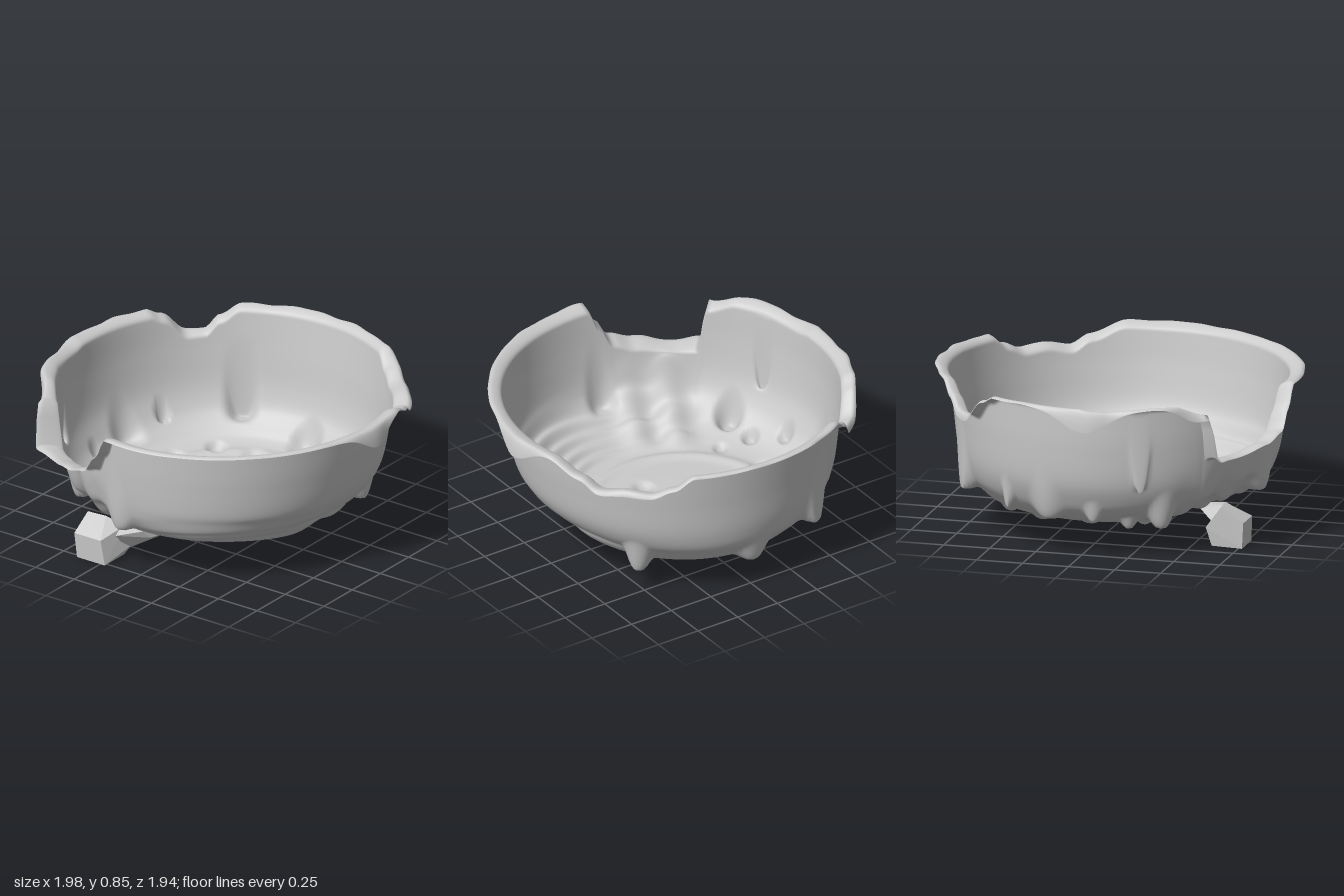
import * as THREE from 'three';
import { ConvexGeometry } from 'three/addons/geometries/ConvexGeometry.js';

const { smoothstep, lerp } = THREE.MathUtils;
const COLS = 280, ROWS = 110, LIP_ROWS = 14;

// Wall radius at each height, for the four sides of the basin
const LEVELS = [0.145, 0.145, 0.142, 0.148, 0.175, 0.21, 0.25, 0.30, 0.40, 0.60, 0.80];
const SIDES = {
  right: [0, 0.22, 0.42, 0.56, 0.61, 0.64, 0.66, 0.73, 0.80, 0.85, 0.88],
  front: [0, 0.22, 0.42, 0.53, 0.61, 0.69, 0.75, 0.80, 0.83, 0.86, 0.88],
  left: [0, 0.22, 0.42, 0.60, 0.70, 0.75, 0.79, 0.82, 0.86, 0.885, 0.892],
  back: [0, 0.22, 0.42, 0.56, 0.70, 0.74, 0.78, 0.82, 0.85, 0.875, 0.90],
};

// Rim height by angle in degrees (0 = +x, 90 = front)
const RIM = [[0, .835], [80, .83], [95, .835], [99, .72], [104, .61], [112, .57], [126, .54],
  [133.5, .55], [136, .79], [148, .85], [172, .83], [180, .85], [206, .86], [213, .81], [221, .705],
  [227, .71], [232, .78], [239, .845], [260, .85], [296, .84],
  [303, .77], [310, .73], [318, .74], [327, .715], [334, .77], [346, .835], [360, .835]];

// Pits: x, z, radius, height of the bottom
const PITS = [[-.42, -.72, .1, .23], [-.02, -.72, .1, .14], [-.74, -.17, .11, .19], [-.17, -.22, .16, .07],
  [-.64, .4, .08, .15], [-.33, .01, .055, .12], [.31, -.34, .08, .11], [.11, -.24, .05, .12],
  [.29, -.06, .04, .125], [.05, .17, .06, .12], [.17, -.51, .06, .12], [-.02, -.53, .035, .13],
  [-.53, -.27, .07, .125], [-.57, 0, .06, .13], [-.77, .07, .05, .19], [-.5, .27, .045, .125],
  [-.66, .23, .05, .14], [-.41, -.48, .06, .125], [.52, -.48, .085, .13], [-.2, -.52, .07, .13],
  [-.82, .34, .055, .37], [-.71, -.41, .035, .22], [-.1, .77, .09, .25]];

// Rock knob: x, y, z corners of the block and of its narrow neck
const KNOB = [[-.4, 0, .77], [-.22, 0, .77], [-.22, 0, .6], [-.38, 0, .6], [-.41, .14, .78], [-.24, .14, .78],
  [-.41, .22, .66], [-.3, .22, .65], [-.2, .18, .62], [-.18, .06, .59], [-.39, .1, .57]];
const NECK = [[-.2, .04, .6], [-.22, .18, .62], [-.2, .15, .7], [-.27, .1, .57],
  [-.1, .165, .6], [-.08, .12, .56], [-.02, .135, .46], [-.12, .13, .46]];

function rimHeight(deg) {
  const k = RIM.findIndex((p) => p[0] > deg);
  const [a, b] = [RIM[k - 1], RIM[k]];
  return lerp(a[1], b[1], smoothstep(deg, a[0], b[0]));
}

// Smooth bump of an angle around a centre, wrapping at 360
function around(deg, centre, width) {
  const d = ((deg - centre + 540) % 360) - 180;
  return Math.exp(-(d * d) / (width * width));
}

function wallCurve(angle) {
  const c = Math.cos(angle), s = Math.sin(angle);
  const sideX = c > 0 ? SIDES.right : SIDES.left, sideZ = s > 0 ? SIDES.front : SIDES.back;
  return new THREE.CatmullRomCurve3(LEVELS.map((y, k) =>
    new THREE.Vector3(sideX[k] * c * c + sideZ[k] * s * s, y, 0)), false, 'centripetal');
}

// Ripples, ledges and pits on the inner ground
function shapeGround(x, z, r, y, deg) {
  const terrace = around(deg, 55, 45) * smoothstep(r, 0.44, 0.56) * (1 - smoothstep(y, 0.3, 0.44));
  y += terrace * (0.025 + 0.009 * Math.sin(r * 88 + 1.5 * Math.sin(deg * 0.07)));
  const ring = Math.hypot(x + 0.03, z + 0.1);
  y += 0.014 * Math.exp(-(((ring - 0.5) / 0.03) ** 2)) * (1 - smoothstep(r, 0.55, 0.68));
  y += 0.06 * Math.exp(-((x - 0.54) ** 2 + (z - 0.02) ** 2) / 0.008);
  const rough = around(deg, 118, 17) * smoothstep(r, 0.45, 0.6) * (1 - smoothstep(y, 0.4, 0.55));
  y += rough * (0.045 + 0.025 * Math.sin(x * 24 + z * 9) + 0.015 * Math.sin(z * 42 - x * 8));
  const ground = y;
  for (const [px, pz, pr, bottom] of PITS) {
    // Pits in the wall taper off upward like drops
    const f = (1 - smoothstep(Math.hypot(x - px, z - pz), pr * 0.3, pr * 1.1))
      * (1 - smoothstep(ground, bottom + 0.2, bottom + 0.46));
    if (f > 0) y = Math.min(y, lerp(ground, bottom, f));
  }
  return y;
}

function basinGeometry() {
  const pos = [], index = [];
  const wallRows = ROWS - LIP_ROWS;
  for (let i = 0; i < COLS; i++) {
    const angle = (i / COLS) * Math.PI * 2, deg = (i / COLS) * 360;
    const c = Math.cos(angle), s = Math.sin(angle);
    const rim = rimHeight(deg), curve = wallCurve(angle);
    // Cut the wall off just under the rim
    let lo = 0.5, hi = 1;
    for (let k = 0; k < 18; k++) {
      const mid = (lo + hi) / 2;
      if (curve.getPoint(mid).y < rim - 0.045) lo = mid; else hi = mid;
    }
    const top = curve.getPoint(lo);
    // Uneven rim edge, calmer along the front and right
    const wave = (0.007 * Math.sin(angle * 7 + 1) + 0.006 * Math.sin(angle * 17) + 0.004 * Math.sin(angle * 31 + 2))
      * (1 - 0.75 * around(deg, 50, 45));
    const hang = 0.01 + 0.1 * around(deg, 0, 8) + 0.11 * around(deg, 176, 9) + 0.03 * around(deg, 224, 8)
      + 0.04 * around(deg, 142, 6) + 0.02 * around(deg, 318, 12);
    const reach = 0.967 + 0.022 * around(deg, 0, 9) + 0.027 * around(deg, 178, 10) + 0.045 * around(deg, 133, 4)
      - 0.015 * around(deg, 45, 30) + wave * 0.6 - top.x;
    for (let j = 0; j <= ROWS; j++) {
      let r, y;
      if (j <= wallRows) {
        const p = curve.getPoint((j / wallRows) * lo);
        r = Math.max(p.x, 0);
        y = p.y;
      } else {
        // Flared lip that curls over and hangs down
        const l = (j - wallRows) / LIP_ROWS;
        r = top.x + reach * lerp(l * l, Math.sin(l * Math.PI / 2), smoothstep(l, 0, 0.6));
        y = top.y + 0.045 * Math.sin(Math.min(l * 1.7, 1) * Math.PI / 2) + wave * 0.5 * l
          - hang * smoothstep(l, 0.5, 1.05);
      }
      const x = r * c, z = r * s;
      pos.push(x, shapeGround(x, z, r, y, deg), z);
      if (j < ROWS) {
        const a = i * (ROWS + 1) + j, b = ((i + 1) % COLS) * (ROWS + 1) + j;
        index.push(a, b, a + 1, b, b + 1, a + 1);
      }
    }
  }
  const g = new THREE.BufferGeometry();
  g.setAttribute('position', new THREE.Float32BufferAttribute(pos, 3));
  g.setIndex(index);
  g.computeVertexNormals();
  return g;
}

export function createModel() {
  const model = new THREE.Group();
  model.name = 'craterBasin';

  // Thin basin with floor, wall and torn rim in one sheet
  const shell = new THREE.Mesh(basinGeometry(),
    new THREE.MeshStandardMaterial({ color: 0xcccccc, side: THREE.DoubleSide }));
  shell.name = 'basinShell';
  model.add(shell);

  // Rock knob hanging below the front on a neck
  const rock = new THREE.MeshStandardMaterial({ color: 0xcccccc, flatShading: true });
  for (const [name, points] of [['rockKnob', KNOB], ['rockNeck', NECK]]) {
    const mesh = new THREE.Mesh(new ConvexGeometry(points.map((p) => new THREE.Vector3(...p))), rock);
    mesh.name = name;
    model.add(mesh);
  }
  return model;
}
